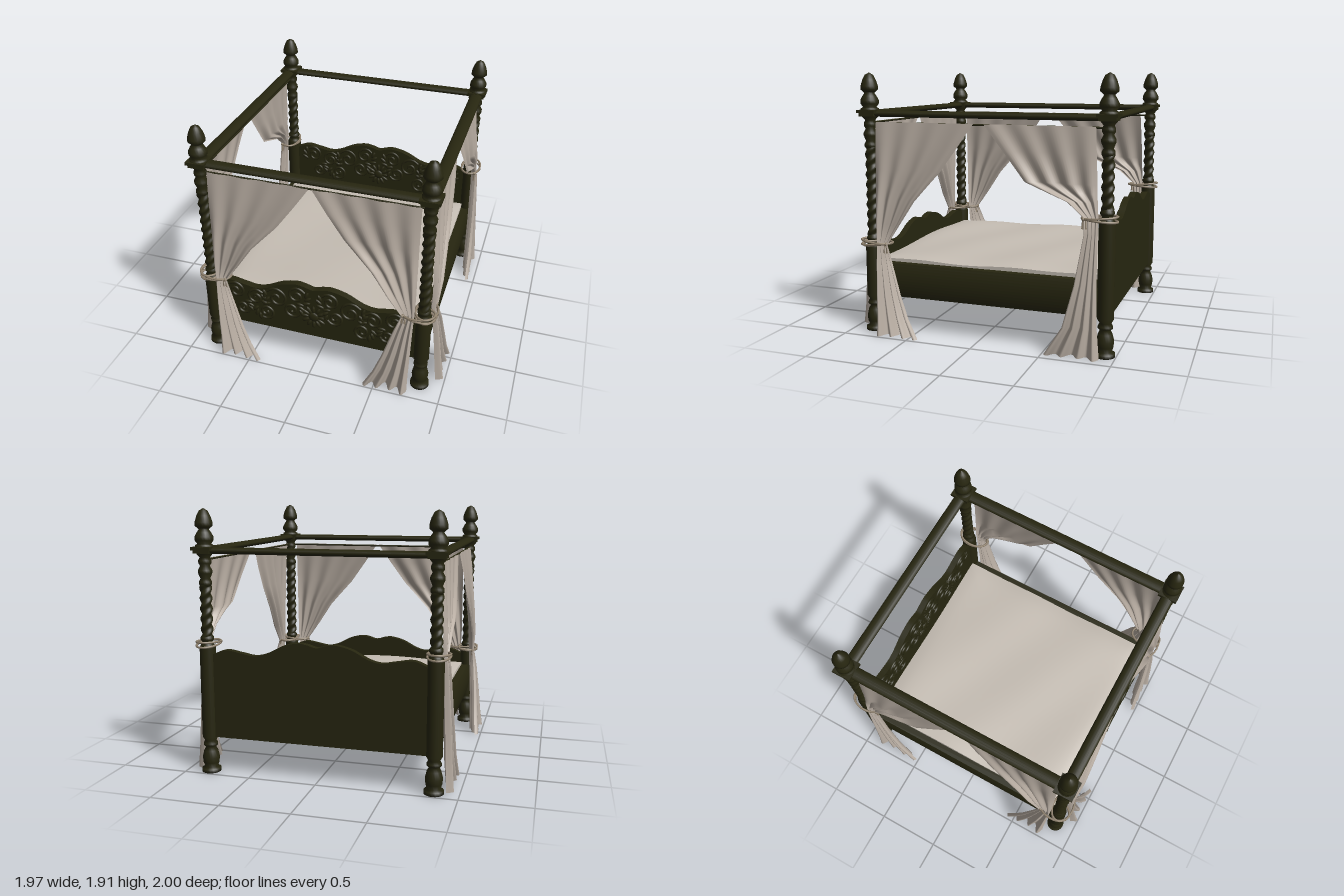
import * as THREE from 'three';

const paint = (name, color, side = THREE.FrontSide) => {
  const m = new THREE.MeshStandardMaterial({ color, side });
  m.name = name;
  return m;
};

export function createModel() {
  const bed = new THREE.Group();
  bed.name = 'fourPosterBed';
  const wood = paint('darkWood', 0x272610);
  const cloth = paint('curtainCloth', 0xb9aea3, THREE.DoubleSide);
  const linen = paint('mattressLinen', 0xc6beb4);
  const cord = paint('tieCord', 0x948672);

  const add = (name, geo, mat, x = 0, y = 0, z = 0, parent = bed) => {
    const m = new THREE.Mesh(geo, mat);
    m.name = name;
    m.position.set(x, y, z);
    parent.add(m);
    return m;
  };
  const lathe = pts => new THREE.LatheGeometry(pts.map(([r, y]) => new THREE.Vector2(r, y)), 20);

  const PX = 0.825, FZ = 0.837, BZ = -0.923;

  // Turned posts: foot and column, twisted shaft, ringed neck, square capital, finial
  const neck = lathe([[0.03, 1.36], [0.046, 1.38], [0.046, 1.4], [0.034, 1.42], [0.05, 1.46], [0.05, 1.48],
    [0.034, 1.51], [0.046, 1.53], [0.046, 1.55], [0.036, 1.57], [0.06, 1.6], [0.06, 1.61]]);
  const finial = lathe([[0.065, 1.64], [0.065, 1.655], [0.048, 1.665], [0.066, 1.69], [0.066, 1.715], [0.05, 1.745],
    [0.036, 1.765], [0.044, 1.775], [0.062, 1.79], [0.062, 1.815], [0.048, 1.86], [0.03, 1.895], [0, 1.912]]);
  const post = (x, z, top) => {
    const g = new THREE.Group();
    g.name = z > 0 ? 'frontPost' : 'backPost';
    g.position.set(x, 0, z);
    bed.add(g);
    add('column', lathe([[0, 0], [0.07, 0], [0.07, 0.025], [0.046, 0.035], [0.058, 0.07], [0.062, 0.11], [0.05, 0.16],
      [0.036, 0.185], [0.052, 0.2], [0.052, 0.215], [0.04, 0.235], [0.058, 0.265], [0.058, top - 0.025],
      [0.045, top], [0.034, top + 0.015], [0.048, top + 0.035], [0.048, top + 0.05], [0.034, top + 0.07]]),
      wood, 0, 0, 0, g);
    const y0 = top + 0.06, h = 1.38 - y0;
    const twist = new THREE.CylinderGeometry(1, 1, h, 24, Math.round(h * 130), true);
    const p = twist.attributes.position;
    for (let i = 0; i < p.count; i++) {
      const a = Math.atan2(p.getZ(i), p.getX(i));
      const r = 0.039 + 0.006 * Math.cos(2 * a + p.getY(i) * 85);
      p.setXYZ(i, Math.cos(a) * r, p.getY(i), Math.sin(a) * r);
    }
    twist.computeVertexNormals();
    add('twistedShaft', twist, wood, 0, y0 + h / 2, 0, g);
    add('neck', neck, wood, 0, 0, 0, g);
    add('capital', new THREE.BoxGeometry(0.145, 0.022, 0.145), wood, 0, 1.634, 0, g);
    add('capitalBase', new THREE.BoxGeometry(0.12, 0.025, 0.12), wood, 0, 1.612, 0, g);
    add('finial', finial, wood, 0, 0, 0, g);
  };
  for (const s of [-1, 1]) {
    post(s * PX, FZ, 0.66);
    post(s * PX, BZ, 0.95);
  }

  // Canopy rails (flattened round bars) and thin curtain rods
  const bar = (name, len, w, h, x, y, z, alongX) => {
    const geo = new THREE.CylinderGeometry(1, 1, len, 16).rotateX(Math.PI / 2).scale(w / 2, h / 2, 1);
    if (alongX) geo.rotateY(Math.PI / 2);
    add(name, geo, wood, x, y, z);
  };
  const midZ = (FZ + BZ) / 2, lenZ = FZ - BZ;
  for (const z of [FZ, BZ]) bar('canopyRail', 2 * PX, 0.092, 0.048, 0, 1.62, z, true);
  bar('curtainRod', 2 * PX, 0.014, 0.014, 0, 1.553, FZ, true);
  for (const s of [-1, 1]) {
    bar('canopyRail', lenZ, 0.097, 0.048, s * PX, 1.62, midZ, false);
    bar('curtainRod', lenZ, 0.014, 0.014, s * PX, 1.553, midZ, false);
  }

  // Wavy headboard and footboard
  const crest = [[0.8, 0.87], [0.68, 0.915], [0.56, 0.9], [0.46, 0.885], [0.37, 0.905], [0.25, 0.965], [0.14, 0.992],
    [0.07, 0.985], [0, 0.967]];
  const panel = (name, drop, z) => {
    const pts = [...crest, ...crest.slice(0, -1).reverse().map(([x, y]) => [-x, y])];
    const s = new THREE.Shape();
    s.moveTo(-0.8, 0.268);
    s.lineTo(0.8, 0.268);
    s.lineTo(0.8, 0.87 - drop);
    s.splineThru(pts.slice(1).map(([x, y]) => new THREE.Vector2(x, y - drop)));
    add(name, new THREE.ExtrudeGeometry(s, { depth: 0.05, bevelEnabled: false, curveSegments: 48 }), wood, 0, 0, z - 0.025);
  };
  panel('headboard', 0, BZ);
  panel('footboard', 0.265, FZ);

  // Carved scrolls: spirals with leaf lobes, mirrored on each board: [x, y, radius, start angle, direction]
  const scrolls = [[0.13, 0.89, 0.065, 2.6, -1], [0.29, 0.83, 0.08, 0.6, 1], [0.46, 0.8, 0.065, 2.4, -1],
    [0.62, 0.83, 0.065, 0.8, 1], [0.17, 0.75, 0.06, 3.6, 1], [0.38, 0.68, 0.06, 5.2, -1], [0.57, 0.68, 0.05, 3.4, 1]];
  const carve = (drop, z) => {
    const g = new THREE.Group();
    g.name = 'carving';
    g.position.set(0, -drop, z);
    bed.add(g);
    for (const s of [-1, 1]) for (const [x, y, r, a0, d] of scrolls) {
      const pts = [];
      for (let i = 0; i <= 16; i++) {
        const t = i / 16, a = a0 + d * t * 9, q = r * (1.15 - t);
        pts.push(new THREE.Vector3(s * (x + q * Math.cos(a)), y + q * Math.sin(a), 0));
      }
      add('scroll', new THREE.TubeGeometry(new THREE.CatmullRomCurve3(pts), 40, 0.011, 6), wood, 0, 0, 0, g);
      for (let k = 0; k < 3; k++) {
        const a = a0 - d * (0.3 + k * 0.45), q = r * (1.25 + k * 0.12);
        const leaf = add('leaf', new THREE.SphereGeometry(1, 10, 6), wood, s * (x + q * Math.cos(a)), y + q * Math.sin(a), 0, g);
        leaf.scale.set(0.034, 0.014, 0.012);
        leaf.rotation.z = s > 0 ? a + 0.9 * d : Math.PI - a - 0.9 * d;
      }
    }
    // Petalled rosette in the middle
    for (let k = 0; k < 12; k++) {
      const a = k * Math.PI / 6;
      const petal = add('petal', new THREE.SphereGeometry(1, 10, 6), wood, 0.07 * Math.cos(a), 0.72 + 0.07 * Math.sin(a), 0, g);
      petal.scale.set(0.035, 0.014, 0.012);
      petal.rotation.z = a;
    }
    add('rosetteHeart', new THREE.SphereGeometry(0.04, 14, 8).scale(1, 1, 0.4), wood, 0, 0.72, 0, g);
  };
  carve(0, BZ + 0.025);
  carve(0.265, FZ + 0.025);

  // Side rails with a gently bowed outer face, and the base
  for (const s of [-1, 1]) {
    const sec = new THREE.Shape();
    sec.moveTo(s * 0.78, 0.268);
    sec.lineTo(s * 0.83, 0.268);
    sec.quadraticCurveTo(s * 0.88, 0.4, s * 0.84, 0.522);
    sec.lineTo(s * 0.78, 0.522);
    add('sideRail', new THREE.ExtrudeGeometry(sec, { depth: lenZ, bevelEnabled: false }), wood, 0, 0, BZ);
  }
  add('base', new THREE.BoxGeometry(1.58, 0.04, lenZ), wood, 0, 0.305, midZ);

  // Mattress with a softly rumpled top
  const mat = new THREE.BoxGeometry(1.57, 0.235, 1.69, 30, 1, 30);
  const mp = mat.attributes.position;
  for (let i = 0; i < mp.count; i++) {
    if (mp.getY(i) < 0) continue;
    const x = mp.getX(i), z = mp.getZ(i);
    const edge = Math.max(Math.abs(x) / 0.785, Math.abs(z) / 0.845);
    mp.setY(i, mp.getY(i) + 0.006 * Math.sin(5 * x + 3 * z) + 0.005 * Math.sin(9 * z - 4 * x) - 0.02 * edge ** 12);
  }
  mat.computeVertexNormals();
  add('mattress', mat, linen, 0, 0.45, -0.043);

  // Curtains: rows of [height, inner edge, outer edge, distance outward, fold depth]
  const frontRows = [[1.56, 0.01, 0.77, 0.015, 0.004], [1.4, 0.12, 0.77, 0.03, 0.008], [1.22, 0.25, 0.77, 0.04, 0.012],
    [1.1, 0.36, 0.77, 0.045, 0.016], [1.0, 0.45, 0.77, 0.05, 0.018], [0.82, 0.57, 0.77, 0.055, 0.02],
    [0.67, 0.675, 0.765, 0.05, 0.016], [0.52, 0.62, 0.76, 0.07, 0.022], [0.3, 0.55, 0.755, 0.09, 0.026],
    [0.14, 0.49, 0.75, 0.1, 0.03], [0, 0.415, 0.75, 0.115, 0.034]];
  const backRows = [[1.56, 0.05, 0.84, 0.015, 0.004], [1.38, 0.2, 0.85, 0.03, 0.008], [1.18, 0.36, 0.86, 0.04, 0.014],
    [1.12, 0.51, 0.86, 0.045, 0.016], [1.06, 0.66, 0.865, 0.045, 0.018], [0.96, 0.775, 0.87, 0.045, 0.016],
    [0.85, 0.78, 0.87, 0.055, 0.02], [0.5, 0.72, 0.87, 0.07, 0.024], [0.2, 0.64, 0.88, 0.08, 0.028],
    [0, 0.515, 0.9, 0.09, 0.03]];
  const COLS = 36;
  const curtain = (name, rows, place, tieY, tieA) => {
    const pos = [], idx = [];
    rows.forEach(([y, inner, outer, out, fold], r) => {
      for (let c = 0; c <= COLS; c++) {
        const t = c / COLS;
        const w = out + fold * (Math.sin(t * 22 + 0.4) + 0.4 * Math.sin(t * 9 + y));
        pos.push(...place(inner + (outer - inner) * t, y, w));
        if (r && c) {
          const i = r * (COLS + 1) + c, j = i - COLS - 1;
          idx.push(j - 1, i - 1, j, j, i - 1, i);
        }
      }
    });
    const geo = new THREE.BufferGeometry();
    geo.setAttribute('position', new THREE.Float32BufferAttribute(pos, 3));
    geo.setIndex(idx);
    geo.computeVertexNormals();
    add(name, geo, cloth);
    // Doubled cord around post and cloth, with a knot and two hanging ends
    for (const k of [0, 1]) {
      const pts = [];
      for (let i = 0; i < 16; i++) {
        const a = i * Math.PI / 8;
        pts.push(new THREE.Vector3(...place(tieA + 0.122 * Math.cos(a), tieY + k * 0.016 + (k - 0.5) * 0.02 * Math.cos(a), 0.012 + 0.078 * Math.sin(a))));
      }
      add('tieCord', new THREE.TubeGeometry(new THREE.CatmullRomCurve3(pts, true), 40, 0.008, 6, true), cord);
      add('cordEnd', new THREE.CylinderGeometry(0.005, 0.009, 0.06, 6), cord, ...place(tieA - 0.105 + k * 0.02, tieY - 0.03, 0.06));
    }
    add('cordKnot', new THREE.SphereGeometry(0.014, 10, 8), cord, ...place(tieA - 0.1, tieY + 0.005, 0.06));
  };
  for (const s of [-1, 1]) {
    curtain('frontCurtain', frontRows, (a, y, w) => [s * a, y, FZ + w], 0.665, 0.785);
    curtain('sideFrontCurtain', frontRows, (a, y, w) => [s * (PX + w), y, a + 0.015], 0.665, 0.785);
    curtain('sideBackCurtain', backRows, (a, y, w) => [s * (PX + w), y, -a], 0.945, 0.875);
  }
  return bed;
}
